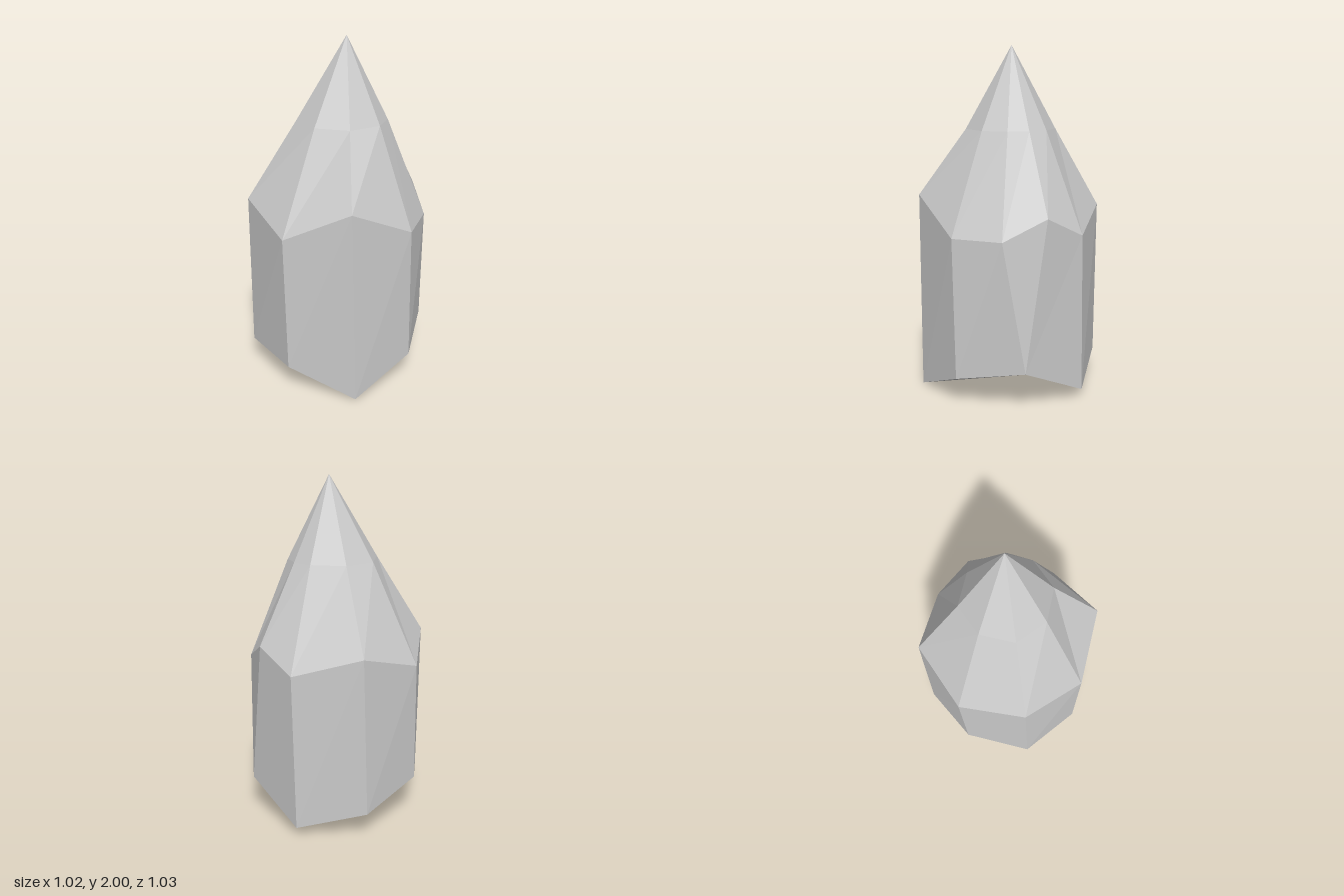
import * as THREE from 'three';

// Rings run from the front-left corner round by +x, the back and -x.
// The back corner is cut, so one lower corner meets two shoulder corners.
const base = [
  [0.38, 0, 0.365], [0.51, 0.16, -0.01], [0.365, 0.23, -0.385], [0.365, 0.23, -0.385],
  [-0.01, 0.05, -0.515], [-0.385, 0.16, -0.365], [-0.51, 0.26, 0.01],
  [-0.365, 0.16, 0.385], [0.01, 0.16, 0.515],
];
const shoulder = [
  [0.36, 1.15, 0.385], [0.51, 0.96, 0.01], [0.43, 0.96, -0.275], [0.25, 1.08, -0.445],
  [0.01, 0.96, -0.515], [-0.365, 1.075, -0.385], [-0.515, 0.96, -0.015],
  [-0.385, 1.075, 0.36], [-0.01, 0.96, 0.515],
];
const neck = [
  [0.195, 0.165], [0.272, -0.015], [0.232, -0.163], [0.141, -0.244], [0.02, -0.275],
  [-0.168, -0.21], [-0.242, -0.03], [-0.176, 0.16], [0.008, 0.235],
].map(([x, z]) => [x, 1.53, z]);
const tip = [0.03, 2, -0.04];

const material = new THREE.MeshStandardMaterial({ color: 0xcccccc, flatShading: true });

function facetMesh(name, triangles) {
  const geometry = new THREE.BufferGeometry();
  geometry.setAttribute('position', new THREE.Float32BufferAttribute(triangles.flat(2), 3));
  geometry.computeVertexNormals();
  const mesh = new THREE.Mesh(geometry, material);
  mesh.name = name;
  return mesh;
}

// Joins two rings with a band of facets
function band(lower, upper) {
  const triangles = [];
  lower.forEach((a, i) => {
    const j = (i + 1) % lower.length;
    const b = lower[j];
    if (String(a) !== String(b)) triangles.push([a, b, upper[j]]);
    triangles.push([a, upper[j], upper[i]]);
  });
  return triangles;
}

export function createModel() {
  const group = new THREE.Group();
  group.name = 'crystal';

  // Upright sides
  group.add(facetMesh('crystalSides', band(base, shoulder)));

  // Tapering point
  const cap = neck.map((p, i) => [p, neck[(i + 1) % neck.length], tip]);
  group.add(facetMesh('crystalPoint', [...band(shoulder, neck), ...cap]));

  // Broken, uneven underside
  const ring = base.filter((p, i) => i !== 3);
  const faces = [[0, 1, 2], [2, 3, 4], [4, 5, 6], [6, 7, 0], [0, 2, 4], [0, 4, 6]];
  group.add(facetMesh('crystalUnderside', faces.map(([a, b, c]) => [ring[c], ring[b], ring[a]])));

  return group;
}
